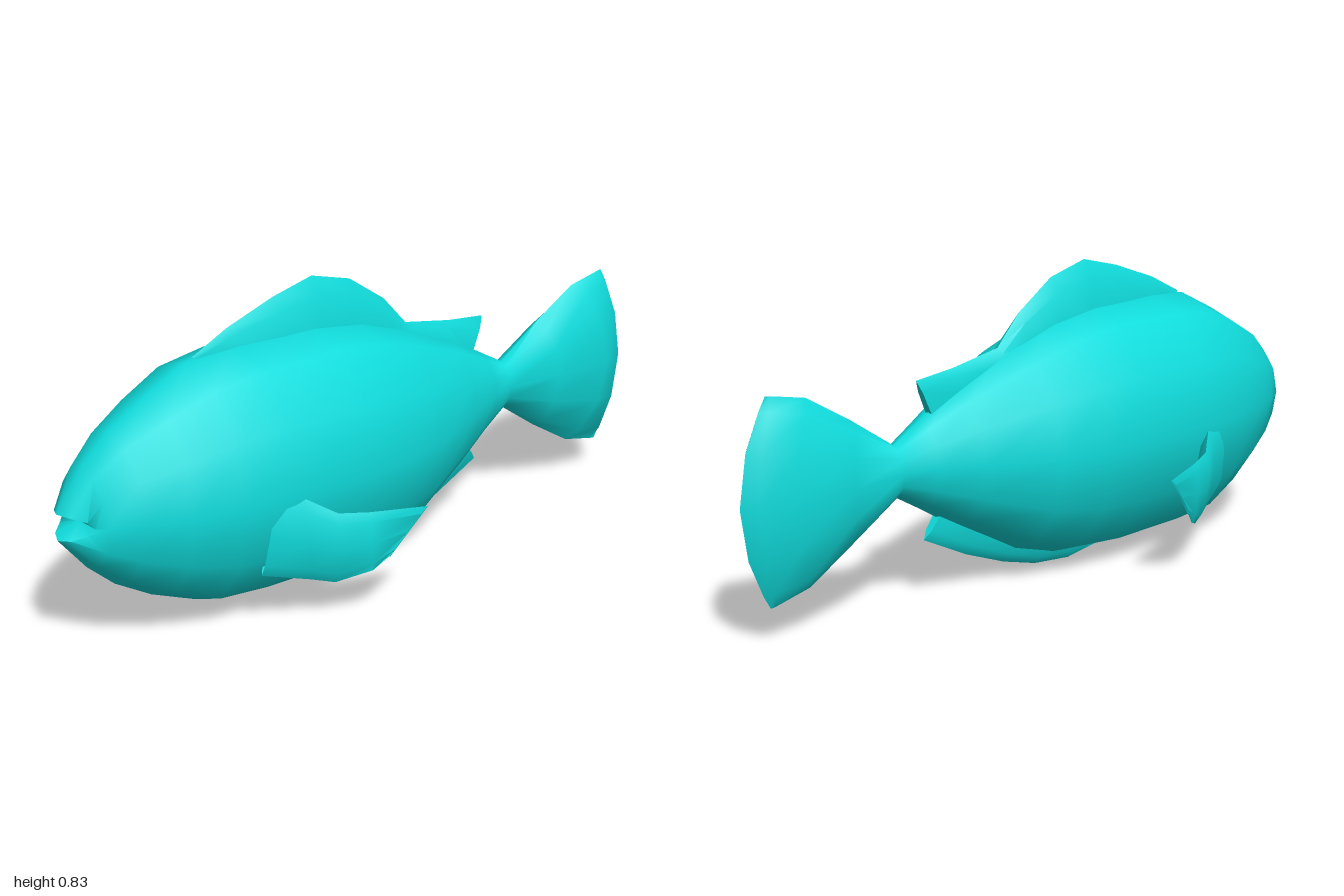
import * as THREE from 'three';
import { toCreasedNormals } from 'three/addons/utils/BufferGeometryUtils.js';

// Skin a surface over closed rings that all have the same number of points
function loft(rings, crease) {
  const n = rings[0].length, index = [];
  for (let j = 0; j < rings.length - 1; j++) {
    for (let i = 0; i < n; i++) {
      const a = j * n + i, c = j * n + (i + 1) % n;
      index.push(a, c, a + n, c, c + n, a + n);
    }
  }
  const geo = new THREE.BufferGeometry();
  geo.setAttribute('position', new THREE.Float32BufferAttribute(rings.flat(2), 3));
  geo.setIndex(index);
  return toCreasedNormals(geo, crease);
}

// Oval cross-section; bow shifts its sides along z relative to top and bottom
function oval([z, bottom, top, halfWidth, bow = 0]) {
  const ring = [];
  for (let i = 0; i < 12; i++) {
    const a = i / 12 * Math.PI * 2, s = Math.sin(a), c = Math.cos(a);
    ring.push([halfWidth * s, (top + bottom) / 2 + (top - bottom) / 2 * c, z + bow * s * s]);
  }
  return ring;
}

// Fin cross-section in the middle plane: thick at the base, sharp at the edge
function blade([baseZ, baseY, edgeZ, edgeY, t]) {
  const at = (k, x) => [x, baseY + (edgeY - baseY) * k, baseZ + (edgeZ - baseZ) * k];
  return [at(0, t), at(0.7, t * 0.75), at(1, 0), at(0.7, -t * 0.75), at(0, -t)];
}

// Side fin cross-section: lens between an upper and a lower point
function lens([upper, lower, t]) {
  const ring = [];
  for (let i = 0; i < 8; i++) {
    const a = i / 8 * Math.PI * 2, k = (1 - Math.cos(a)) / 2, d = t * Math.sin(a);
    const p = upper.map((u, m) => u + (lower[m] - u) * k);
    ring.push([p[0] + d * 0.88, p[1], p[2] + d * 0.45]);
  }
  return ring;
}

export function createModel() {
  const group = new THREE.Group();
  const skin = new THREE.MeshStandardMaterial({ color: 0x10dcdc });
  const finSkin = skin.clone();
  finSkin.side = THREE.DoubleSide;
  const add = (name, geo, material) => {
    const mesh = new THREE.Mesh(geo, material);
    mesh.name = name;
    group.add(mesh);
    return mesh;
  };

  // Body from the open mouth back through the tail fin: z, bottom, top, half width, bow
  add('bodyAndTail', loft([
    [0.935, 0.365, 0.365, 0],
    [1, 0.33, 0.4, 0.07, -0.065],
    [0.92, 0.235, 0.505, 0.1],
    [0.84, 0.165, 0.575, 0.145],
    [0.73, 0.1, 0.635, 0.195],
    [0.6, 0.045, 0.695, 0.235],
    [0.45, 0.033, 0.713, 0.255],
    [0.2, 0.025, 0.713, 0.256],
    [0.05, 0.035, 0.69, 0.24],
    [-0.1, 0.075, 0.64, 0.205],
    [-0.3, 0.18, 0.55, 0.125],
    [-0.42, 0.25, 0.485, 0.075],
    [-0.51, 0.3, 0.435, 0.045],
    [-0.65, 0.205, 0.523, 0.063, -0.04],
    [-0.79, 0.122, 0.602, 0.065, -0.1],
    [-0.9, 0.097, 0.623, 0.035, -0.07],
    [-0.915, 0.095, 0.625, 0, -0.085],
  ].map(oval), 1.2), skin);

  // Back fin: base z, base y, edge z, edge y, half thickness
  add('dorsalFin', loft([
    [0.56, 0.68, 0.58, 0.703, 0.004],
    [0.47, 0.68, 0.47, 0.755, 0.02],
    [0.32, 0.68, 0.32, 0.805, 0.03],
    [0.19, 0.68, 0.19, 0.835, 0.034],
    [0.06, 0.66, 0.06, 0.8, 0.034],
    [-0.06, 0.63, -0.06, 0.72, 0.03],
    [-0.14, 0.59, -0.14, 0.635, 0.026],
    [-0.27, 0.54, -0.3, 0.605, 0.02],
    [-0.38, 0.48, -0.43, 0.59, 0.012],
    [-0.38, 0.48, -0.43, 0.59, 0],
  ].map(blade), 0.9), finSkin);

  // Belly fin
  add('bellyFin', loft([
    [0.22, 0.06, 0.24, 0.022, 0.005],
    [0.13, 0.07, 0.13, 0.005, 0.025],
    [0, 0.09, 0, 0.015, 0.03],
    [-0.12, 0.13, -0.12, 0.045, 0.03],
    [-0.25, 0.19, -0.26, 0.095, 0.025],
    [-0.35, 0.24, -0.41, 0.165, 0.014],
    [-0.35, 0.24, -0.41, 0.165, 0],
  ].map(blade), 0.9), finSkin);

  // Mirrored side fins: upper point, lower point, half thickness
  const sideFin = loft([
    [[0.225, 0.39, 0.5], [0.2, 0.16, 0.53], 0.02],
    [[0.25, 0.36, 0.43], [0.25, 0.13, 0.41], 0.024],
    [[0.3, 0.315, 0.36], [0.275, 0.112, 0.35], 0.022],
    [[0.33, 0.305, 0.28], [0.33, 0.14, 0.27], 0.014],
    [[0.38, 0.295, 0.13], [0.352, 0.175, 0.235], 0.004],
    [[0.38, 0.295, 0.125], [0.352, 0.175, 0.23], 0],
  ].map(lens), 0.9);
  add('leftSideFin', sideFin, finSkin);
  add('rightSideFin', sideFin, finSkin).scale.x = -1;

  return group;
}
